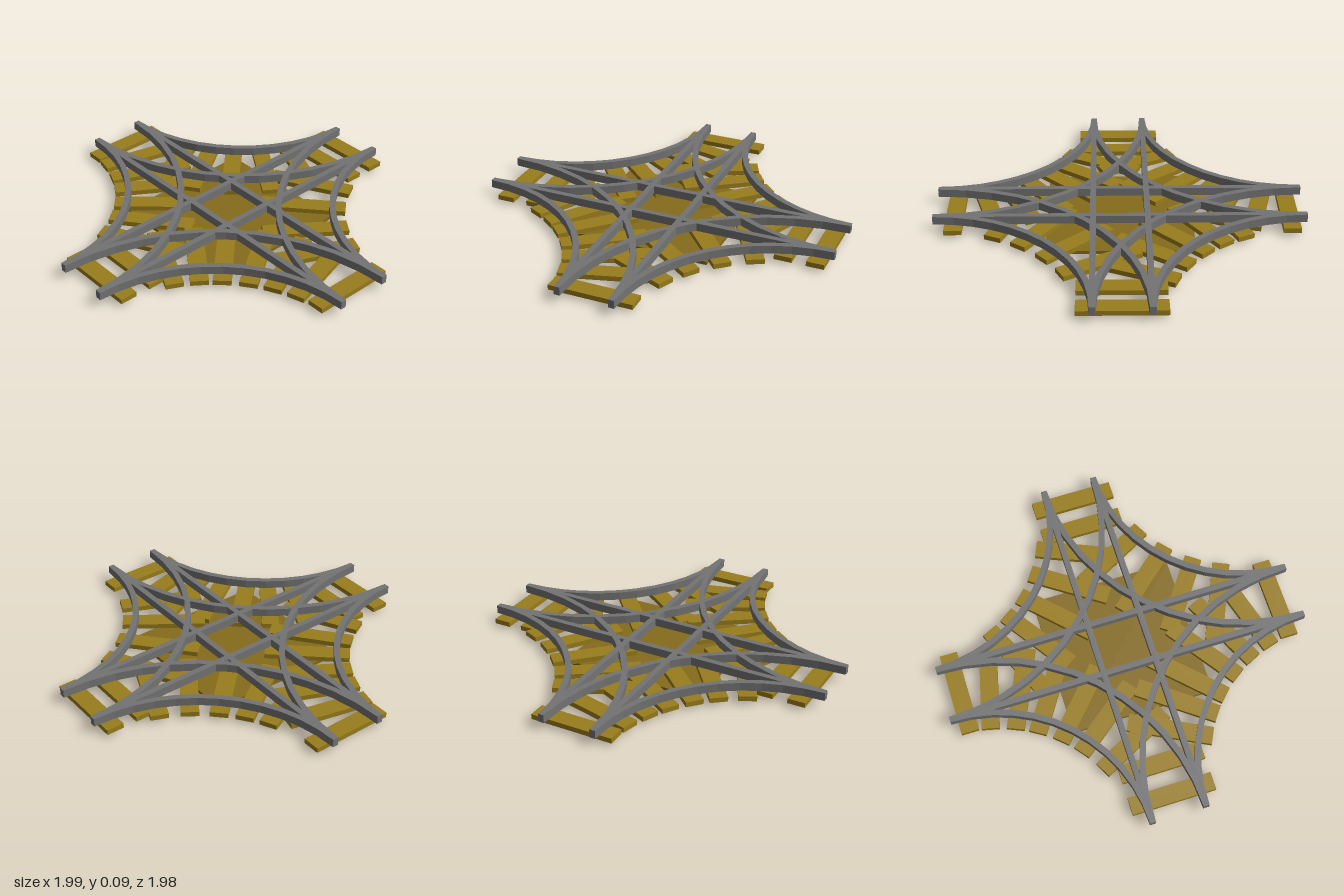
import * as THREE from 'three';

const GAUGE = 0.145;      // half distance between the rails of one track
const RAIL_W = 0.032, RAIL_Y = 0.045, RAIL_H = 0.045;
const TIE_W = 0.095, TIE_L = 0.455, TIE_Y = 0.018, TIE_H = 0.027;

export function createModel() {
  const group = new THREE.Group();
  const steel = new THREE.MeshStandardMaterial({ color: 0x737373, flatShading: true });
  const wood = new THREE.MeshStandardMaterial({ color: 0x997d1c, flatShading: true });
  const board = new THREE.MeshStandardMaterial({ color: 0x856b1c, flatShading: true });

  function add(name, geometry, material) {
    const mesh = new THREE.Mesh(geometry, material);
    mesh.name = name;
    group.add(mesh);
    return mesh;
  }

  // Square base board under the crossing
  add('baseBoard', new THREE.BoxGeometry(0.78, 0.019, 0.78), board).position.y = 0.0095;

  // Straight rails along both axes
  for (const side of [-1, 1]) {
    const y = RAIL_Y + RAIL_H / 2;
    add('straightRailAlongX', new THREE.BoxGeometry(1.99, RAIL_H, RAIL_W), steel)
      .position.set(0, y, side * GAUGE);
    add('straightRailAlongZ', new THREE.BoxGeometry(RAIL_W, RAIL_H, 1.97), steel)
      .position.set(side * GAUGE, y, 0);
  }

  // Quarter-circle rail centred on a corner of the crossing
  function arcRail(radius, segments = 12) {
    const points = [];
    const edge = (r, i) => {
      const a = (i / segments) * Math.PI / 2;
      points.push(new THREE.Vector2(-0.99 + r * Math.cos(a), -0.99 + r * Math.sin(a)));
    };
    for (let i = 0; i <= segments; i++) edge(radius + RAIL_W / 2, i);
    for (let i = segments; i >= 0; i--) edge(radius - RAIL_W / 2, i);
    const geometry = new THREE.ExtrudeGeometry(new THREE.Shape(points), { depth: RAIL_H, bevelEnabled: false });
    return geometry.rotateX(-Math.PI / 2).translate(0, RAIL_Y, 0);
  }
  for (let q = 0; q < 4; q++) {
    add('outerCurvedRail', arcRail(0.99 - GAUGE), steel).rotation.y = q * Math.PI / 2;
    add('innerCurvedRail', arcRail(0.99 + GAUGE), steel).rotation.y = q * Math.PI / 2;
  }

  // Wooden ties: long side along z, turned about y
  function tie(name, x, z, turn) {
    const mesh = add(name, new THREE.BoxGeometry(TIE_W, TIE_H, TIE_L), wood);
    mesh.position.set(x, TIE_Y + TIE_H / 2, z);
    mesh.rotation.y = turn;
  }

  // Ties square to the four track ends
  for (const x of [-0.91, 0.885]) tie('endTie', x, 0, 0);
  for (const z of [-0.91, -0.74, 0.69, 0.865]) tie('endTie', 0, z, Math.PI / 2);

  // Fanned ties under each curve: corner signs and angles in degrees
  const fans = [
    [-1, -1, [25, 34.5, 44.5, 55.5, 67]],
    [1, -1, [24, 36, 49, 62]],
    [-1, 1, [13.5, 23.5, 32.5, 42.5, 52, 63]],
    [1, 1, [16, 25.5, 35, 45, 53.5, 63]],
  ];
  for (const [sx, sz, angles] of fans) {
    for (const degrees of angles) {
      const a = THREE.MathUtils.degToRad(degrees);
      const dx = -sx * Math.sin(a), dz = -sz * Math.cos(a);
      tie('curveTie', sx * 0.98 + 0.985 * dx, sz * 0.98 + 0.985 * dz, Math.atan2(dx, dz));
    }
  }
  return group;
}
